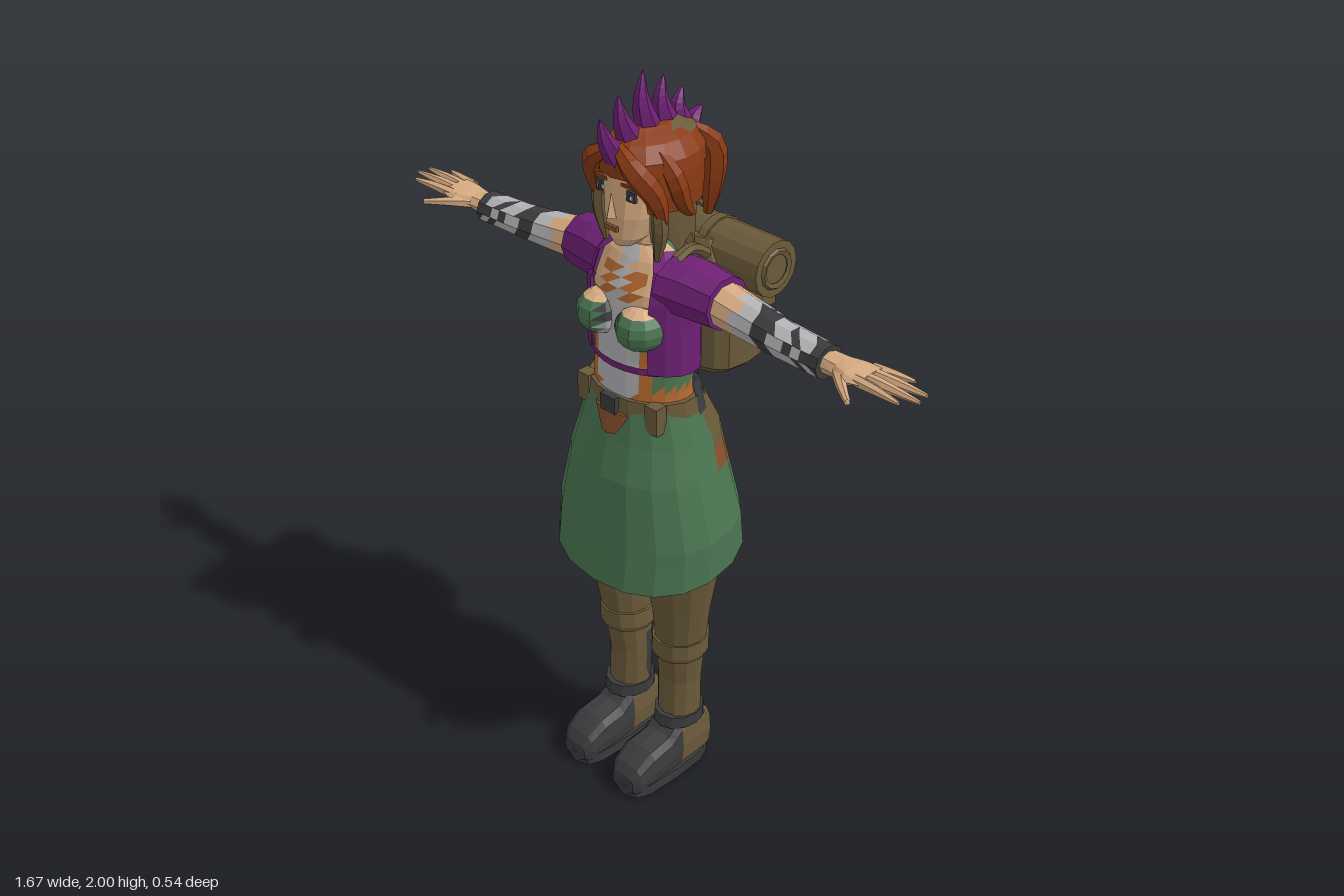
import * as THREE from 'three';

const COLOURS = {
  skin: 0xd6ab82, rust: 0x8a3a14, purple: 0x6e2074, green: 0x4a7550, olive: 0x6a5a3a,
  charcoal: 0x3b3b3e, grey: 0xb4b4b6, orange: 0xb5682f, brown: 0x87502c, white: 0xe2e0da,
};
const KEYS = Object.keys(COLOURS);
const MATS = KEYS.map((name) => new THREE.MeshStandardMaterial({ name, color: COLOURS[name], side: THREE.DoubleSide }));

// Faceted mesh in one colour, or coloured per face by a rule on the face centre
function part(parent, name, geo, colour) {
  const g = geo.index ? geo.toNonIndexed() : geo;
  let material = MATS[KEYS.indexOf(colour)];
  if (typeof colour === 'function') {
    const p = g.attributes.position.array, bins = KEYS.map(() => []);
    for (let i = 0; i < p.length; i += 9) {
      const c = [0, 1, 2].map((k) => (p[i + k] + p[i + 3 + k] + p[i + 6 + k]) / 3);
      bins[KEYS.indexOf(colour(...c))].push(...p.slice(i, i + 9));
    }
    g.clearGroups();
    let start = 0;
    bins.forEach((b, m) => { if (b.length) { g.addGroup(start, b.length / 3, m); start += b.length / 3; } });
    g.setAttribute('position', new THREE.Float32BufferAttribute(bins.flat(), 3));
    material = MATS;
  } else g.clearGroups();
  g.deleteAttribute('uv');
  g.computeVertexNormals();
  const m = new THREE.Mesh(g, material);
  m.name = name;
  parent.add(m);
  return m;
}

// Skin over rings [height, centreX, centreZ, radiusX, radiusZ]; pow < 1 is boxier, a0 opens the front
function loft(rings, { n = 12, pow = 1, sub = 1, a0 = 0, caps = true } = {}) {
  const rows = [], pos = [], idx = [];
  rings.forEach((r, i) => {
    const next = rings[i + 1];
    for (let s = 0; s < (next ? sub : 1); s++) rows.push(r.map((v, k) => (next ? v + (next[k] - v) * s / sub : v)));
  });
  const bend = (v) => Math.sign(v) * Math.abs(v) ** pow;
  for (const [y, cx, cz, rx, rz] of rows)
    for (let j = 0; j <= n; j++) {
      const a = a0 + (2 * Math.PI - 2 * a0) * j / n;
      pos.push(cx + rx * bend(Math.sin(a)), y, cz + rz * bend(Math.cos(a)));
    }
  const w = n + 1, last = (rows.length - 1) * w;
  for (let i = 0; i < rows.length - 1; i++)
    for (let j = 0; j < n; j++) {
      const a = i * w + j, b = a + 1, c = b + w, d = a + w;
      idx.push(a, b, c, a, c, d);
    }
  if (caps) {
    const c = pos.length / 3, e = rows[rows.length - 1];
    pos.push(rows[0][1], rows[0][0], rows[0][2], e[1], e[0], e[2]);
    for (let j = 0; j < n; j++) idx.push(c, j + 1, j, c + 1, last + j, last + j + 1);
  }
  const g = new THREE.BufferGeometry();
  g.setAttribute('position', new THREE.Float32BufferAttribute(pos, 3));
  g.setIndex(idx);
  return g;
}

// Tapered tube along points, for locks, spikes and fingers
function taper(points, r, shape = (t) => (1 - t) ** 0.7, sides = 6) {
  const curve = new THREE.CatmullRomCurve3(points.map((p) => new THREE.Vector3(...p)));
  const seg = 8, g = new THREE.TubeGeometry(curve, seg, r, sides), p = g.attributes.position, v = new THREE.Vector3();
  for (let i = 0; i < p.count; i++) {
    const t = Math.floor(i / (sides + 1)) / seg, c = curve.getPointAt(t);
    v.fromBufferAttribute(p, i).sub(c).multiplyScalar(Math.max(0.02, shape(t))).add(c);
    p.setXYZ(i, v.x, v.y, v.z);
  }
  return g;
}

function warp(g, rule) {
  const p = g.attributes.position;
  for (let i = 0; i < p.count; i++) p.setXYZ(i, ...rule(p.getX(i), p.getY(i), p.getZ(i)));
  return g;
}
const box = (w, h, d, x, y, z) => new THREE.BoxGeometry(w, h, d).translate(x, y, z);

function mirrored(root, name, build) {
  for (const s of [1, -1]) {
    const g = new THREE.Group();
    g.name = (s > 0 ? 'left' : 'right') + name;
    g.scale.x = s;
    build(g);
    root.add(g);
  }
}

function buildLeg(g) {
  part(g, 'trouserLeg', loft([[.17, .095, .05, .06, .058], [.3, .093, .047, .062, .056], [.42, .1, .05, .066, .07],
    [.55, .11, .06, .08, .078], [.68, .115, .065, .1, .102], [.85, .112, .065, .1, .11]], { sub: 2 }),
  (x, y, z) => (y > .2 && y < .36 && x < .07 && z < .05 && z > .01 ? 'charcoal' : 'olive'));
  part(g, 'kneeStrap', loft([[.385, .098, .05, .072, .075], [.4, .098, .05, .078, .08], [.445, .1, .05, .075, .08]]), 'olive');
  // boot swept from heel to toe
  part(g, 'boot', loft([[-.03, .095, -.08, .045, .07], [-.005, .095, -.09, .055, .085], [.09, .095, -.09, .058, .085],
    [.13, .095, -.072, .06, .068], [.2, .095, -.068, .062, .062], [.25, .095, -.05, .055, .045], [.268, .095, -.04, .04, .028]],
  { pow: .65, sub: 2 }).rotateX(Math.PI / 2), (x, y, z) => (z < .09 && y > .03 ? 'olive' : 'charcoal'));
  part(g, 'sole', loft([[0, .095, .12, .062, .15], [.035, .095, .12, .064, .152]], { pow: .6 }), 'charcoal');
  part(g, 'bootCuff', loft([[.155, .095, .05, .064, .076], [.19, .095, .05, .064, .072]]), 'charcoal');
}

function buildArm(g) {
  const turn = -Math.PI / 2;
  part(g, 'arm', loft([[.2, -1.487, .05, .058, .06], [.32, -1.477, .055, .05, .055], [.44, -1.472, .065, .043, .05],
    [.57, -1.47, .07, .041, .047]], { n: 10, sub: 5 }).rotateZ(turn), (x, y, z) => {
    const t = x + .02 * Math.sin(z * 60 + y * 90);
    if (t < .31) return 'skin';
    return (t > .375 && t < .43) || t > .545 || (t > .49 && t < .515 && z > .07) ? 'charcoal' : 'grey';
  });
  part(g, 'vestSleeve', loft([[.1, -1.5, .07, .07, .085], [.16, -1.495, .062, .075, .08], [.245, -1.487, .052, .067, .07]],
    { n: 10 }).rotateZ(turn), 'purple');
  part(g, 'palm', loft([[.56, -1.472, .07, .027, .032], [.61, -1.475, .072, .024, .036], [.65, -1.48, .078, .021, .052],
    [.695, -1.485, .072, .013, .05]], { n: 8 }).rotateZ(turn), 'skin');
  const tips = [[.775, .025], [.83, .055], [.835, .088], [.805, .122]];
  tips.forEach(([x, z], i) => part(g, 'finger', taper([[.67, 1.483, .036 + i * .023], [.74, 1.487, .03 + i * .028], [x, 1.487, z]],
    .014, (t) => 1 - .65 * t * t), 'skin'));
  part(g, 'thumb', taper([[.61, 1.473, .085], [.66, 1.475, .135], [.71, 1.472, .175]], .018, (t) => 1 - .6 * t), 'skin');
}

function buildHead(root) {
  const head = new THREE.Group();
  head.name = 'head';
  root.add(head);
  part(head, 'neck', loft([[1.52, 0, .06, .055, .055], [1.57, 0, .065, .045, .045], [1.68, 0, .075, .045, .045]]), 'skin');
  part(head, 'face', loft([[1.592, 0, .135, .025, .03], [1.615, 0, .125, .05, .05], [1.67, 0, .095, .074, .087],
    [1.73, 0, .08, .085, .1], [1.8, 0, .075, .086, .103], [1.85, 0, .06, .05, .07]], { n: 14 }), 'skin');
  part(head, 'nose', new THREE.ConeGeometry(.016, .06, 4).translate(0, 1.7, .182), 'skin');
  part(head, 'lips', box(.038, .012, .008, 0, 1.644, .183).rotateX(0), 'brown');
  // hair cap, lower strands and loose locks
  part(head, 'hairCap', loft([[1.77, 0, .05, .117, .135], [1.81, 0, .05, .11, .138], [1.845, 0, .045, .082, .115], [1.868, 0, .045, .035, .07]],
    { n: 16, sub: 2, a0: 0 }), (x, y, z) => (Math.abs(x) > .025 && Math.abs(x) < .07 && z < .03 && y > 1.79 ? 'olive' : 'rust'));
  const jag = (x, y, z) => [x, y + (y < 1.66 ? .03 * Math.sin(z * 90 + Math.abs(x) * 60) : 0), z];
  part(head, 'hairSides', loft([[1.685, 0, .045, .112, .12], [1.73, 0, .05, .117, .13], [1.78, 0, .05, .116, .134]],
    { n: 16, a0: .7, caps: false }), 'rust');
  part(head, 'lowerHair', warp(loft([[1.59, 0, .05, .1, .1], [1.64, 0, .052, .104, .106], [1.72, 0, .052, .106, .11]],
    { n: 20, a0: .75, caps: false }), jag), 'olive');
  const leaf = (t) => .35 + .65 * Math.sin(Math.PI * Math.min(1, t * .95 + .05));
  mirrored(head, 'HairLocks', (g) => {
    part(g, 'fringe', taper([[.005, 1.84, .165], [.06, 1.805, .175], [.095, 1.74, .14], [.105, 1.66, .115]], .03, leaf), 'rust');
    part(g, 'templeLock', taper([[.05, 1.84, .1], [.105, 1.78, .09], [.11, 1.7, .06], [.1, 1.66, .02]], .026, leaf), 'rust');
    part(g, 'cheekStrand', taper([[.09, 1.74, .13], [.1, 1.66, .125], [.085, 1.565, .12]], .02, leaf), 'olive');
    part(g, 'backLock', taper([[.04, 1.84, -.04], [.06, 1.79, -.09], [.055, 1.7, -.1], [.04, 1.6, -.1]], .032, leaf), 'rust');
    part(g, 'eyeShadow', box(.04, .026, .008, .044, 1.732, .166).rotateY(0), 'charcoal');
    part(g, 'eye', box(.02, .009, .008, .046, 1.73, .169), 'white');
    part(g, 'pupil', box(.009, .011, .008, .046, 1.73, .171), 'charcoal');
    part(g, 'brow', box(.042, .008, .008, .044, 1.756, .17), 'rust');
  });
  // mohawk: a fan of curved spikes, tips given as [z, y]
  const tips = [[.215, 1.92], [.155, 1.96], [.078, 1.998], [.012, 1.97], [-.05, 1.925], [-.118, 1.86]];
  tips.forEach(([z, y], i) => {
    const a = 1.0 - i * .42, bz = .04 + .135 * Math.sin(a), by = 1.745 + .105 * Math.cos(a);
    part(head, 'mohawkSpike', taper([[0, by, bz], [0, (by + y) / 2 + .005, (bz + z) / 2 + .014], [0, y, z]], .034), 'purple');
  });
}

function buildPack(root) {
  const pack = new THREE.Group();
  pack.name = 'backpack';
  root.add(pack);
  part(pack, 'packBody', loft([[1.22, 0, -.1, .155, .09], [1.24, 0, -.1, .178, .104], [1.42, 0, -.1, .18, .104],
    [1.53, 0, -.095, .165, .095], [1.575, 0, -.09, .13, .07]], { n: 16, pow: .6 }), 'olive');
  part(pack, 'packPocket', loft([[1.25, 0, -.205, .12, .045], [1.34, 0, -.205, .125, .05], [1.37, 0, -.2, .115, .035]], { n: 12, pow: .5 }), 'olive');
  part(pack, 'pocketFlap', box(.255, .045, .055, 0, 1.35, -.228), 'olive');
  part(pack, 'pocketBuckle', box(.03, .06, .02, 0, 1.3, -.258), 'olive');
  part(pack, 'bedroll', new THREE.CylinderGeometry(.072, .072, .53, 14).rotateZ(Math.PI / 2).translate(0, 1.53, -.095), 'olive');
  part(pack, 'carryHandle', new THREE.TorusGeometry(.035, .008, 5, 10, Math.PI).translate(0, 1.575, -.115), 'olive');
  mirrored(pack, 'PackStraps', (g) => {
    part(g, 'rollEnd', new THREE.TorusGeometry(.045, .01, 5, 12).rotateY(Math.PI / 2).translate(.262, 1.53, -.095), 'olive');
    part(g, 'rollStrap', new THREE.CylinderGeometry(.077, .077, .025, 14).rotateZ(Math.PI / 2).translate(.08, 1.53, -.095), 'olive');
    part(g, 'packStrap', box(.025, .17, .014, .08, 1.45, -.201), 'olive');
    part(g, 'strapBuckle', box(.035, .025, .02, .08, 1.42, -.203), 'brown');
    part(g, 'shoulderStrap', taper([[.11, 1.53, -.04], [.11, 1.575, .03], [.115, 1.565, .09]], .014, () => 1), 'olive');
  });
}

export function createModel() {
  const root = new THREE.Group();
  root.name = 'traveller';
  mirrored(root, 'Leg', buildLeg);
  mirrored(root, 'Arm', buildArm);

  // skirt hem rises to the back, where the seat shows above the cloth
  const skirt = loft([[.68, 0, .065, .26, .205], [.8, 0, .064, .257, .19], [.98, 0, .067, .213, .17],
    [1.08, 0, .06, .187, .152], [1.18, 0, .075, .156, .118]], { n: 18, sub: 3, pow: .9, caps: false });
  warp(skirt, (x, y, z) => [x, y + (.27 - z) * .22 * Math.max(0, 1 - (y - .68) / .4), z]);
  part(root, 'skirt', skirt, (x, y, z) => {
    if (z > .04 || y < .98) return 'green';
    return y < 1.035 + .03 * Math.sin(x * 40) ? 'brown' : 'olive';
  });
  part(root, 'seat', loft([[.8, 0, .06, .17, .12], [.95, 0, .06, .18, .14], [1.15, 0, .07, .145, .105]]), 'olive');

  // torso with patched top
  part(root, 'torso', loft([[1.14, 0, .075, .15, .112], [1.22, 0, .08, .142, .105], [1.3, 0, .08, .14, .1],
    [1.4, 0, .08, .145, .1], [1.48, 0, .072, .15, .095], [1.55, 0, .06, .13, .07], [1.58, 0, .06, .06, .05]], { n: 24, sub: 3 }), (x, y, z) => {
    const a = Math.abs(x);
    if (z < .06) return y < 1.24 ? 'charcoal' : 'green';
    if (y > 1.46) return a < .022 ? 'grey' : a < .06 && y < 1.53 ? 'orange' : 'skin';
    if (y < 1.23) return a < .06 ? 'grey' : 'orange';
    return a < .07 ? 'grey' : y < 1.33 && a < .1 ? 'orange' : 'green';
  });
  mirrored(root, 'Bust', (g) => part(g, 'bust', new THREE.SphereGeometry(1, 10, 8).scale(.066, .058, .07).translate(.066, 1.395, .152),
    (x, y) => (x < .035 ? (y > 1.4 ? 'charcoal' : 'grey') : y > 1.43 ? 'skin' : 'green')));
  part(root, 'chestStrap', loft([[1.275, 0, .08, .145, .108], [1.293, 0, .08, .145, .108]], { n: 24, caps: false }), 'purple');
  part(root, 'vest', loft([[1.28, 0, .08, .166, .105], [1.4, 0, .08, .166, .106], [1.47, 0, .075, .168, .105], [1.54, 0, .065, .155, .09],
    [1.575, 0, .055, .095, .06]], { n: 16, a0: .62, caps: false }), 'purple');

  // belt and pouches
  part(root, 'belt', loft([[1.155, 0, .075, .164, .125], [1.2, 0, .077, .158, .118]], { n: 18 }), (x, y, z) => (z < .05 ? 'charcoal' : 'olive'));
  part(root, 'backGuard', loft([[1.15, 0, .07, .168, .125], [1.235, 0, .075, .148, .105]], { n: 10, a0: 1.7, caps: false }), 'charcoal');
  part(root, 'buckle', box(.05, .045, .02, 0, 1.178, .198), 'charcoal');
  part(root, 'frontPatch', loft([[1.1, 0, .19, .03, .026], [1.16, 0, .185, .065, .022]], { n: 8 }), 'brown');
  mirrored(root, 'BeltPouch', (g) => part(g, 'pouch', box(.04, .075, .035, .118, 1.165, .16), 'olive'));

  buildHead(root);
  buildPack(root);
  return root;
}
